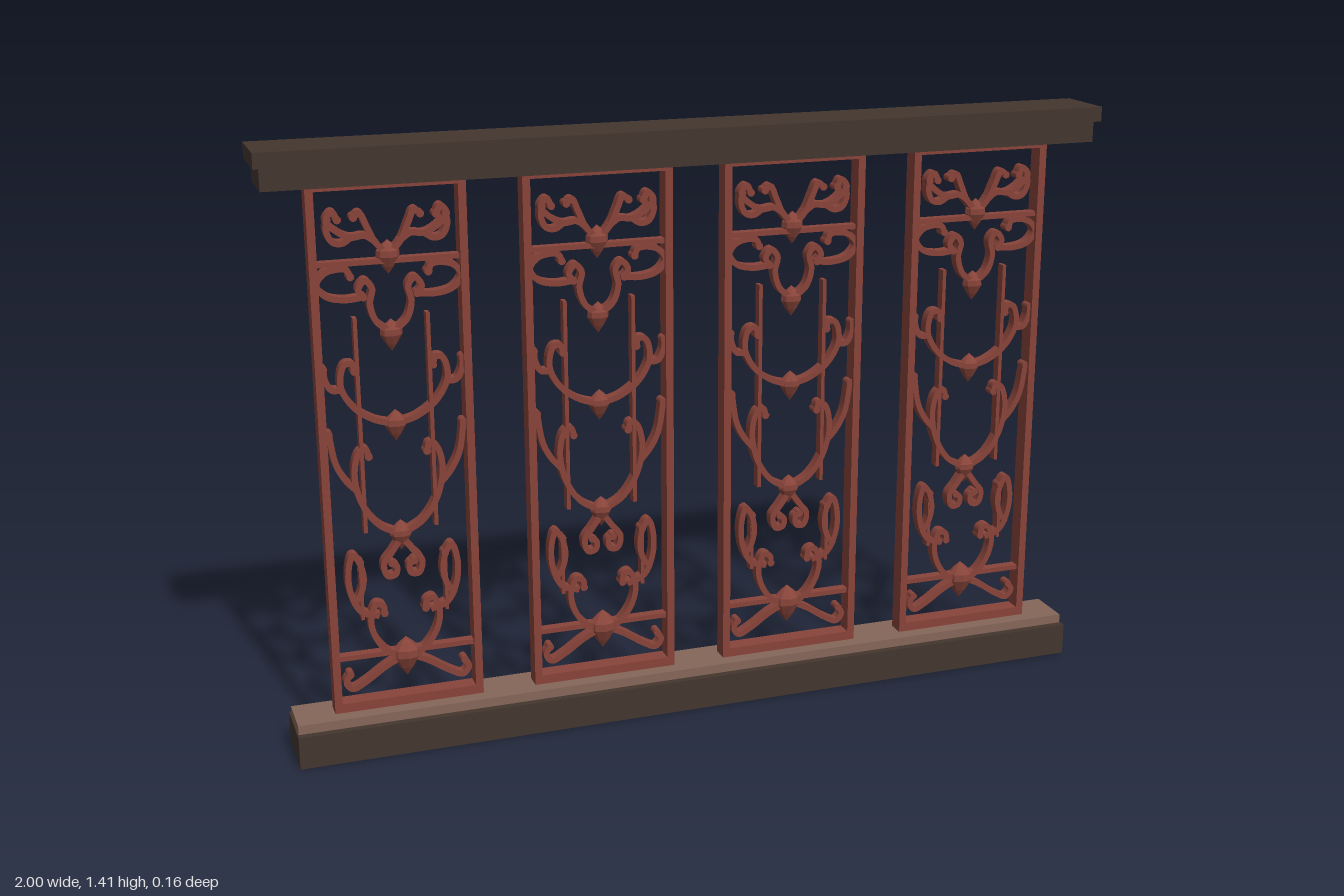
import * as THREE from 'three';

const material = (name, color) => {
  const m = new THREE.MeshStandardMaterial({ color });
  m.name = name;
  return m;
};

// Scrolls of the right half of a panel, as [x, y] in hundredths from the panel centre line
const SCROLLS = {
  crestInnerScroll: [[0.5, 117], [3, 120], [4.6, 123.5], [6, 126.3], [7.3, 125.3]],
  crestOuterScroll: [[2.5, 119.5], [5, 121.2], [8, 121], [11, 122.5], [13.2, 125], [11.8, 126.8], [10.8, 125]],
  crestCurl: [[8, 121], [10, 119.8], [12, 120.2], [13.2, 122.6], [13, 125]],
  neckScroll: [[0.5, 99.5], [3.4, 102], [4.6, 106], [4, 109.5], [5.5, 111.3], [7, 109.3], [6, 107.6]],
  shoulderScroll: [[6, 107.6], [10, 107.3], [14, 108.3], [16, 111], [14, 113.6], [9.5, 114], [8.6, 112.3]],
  upperArm: [[0.5, 78.2], [5, 79.6], [9.5, 83], [12, 88], [11, 92.6], [9.3, 92.8], [8.8, 91]],
  upperTendril: [[11.6, 87], [14, 87.2], [15.3, 89.5], [15.6, 92]],
  lowerArm: [[0.5, 52], [5, 54.6], [8.6, 60], [10, 67], [8.8, 72], [7.2, 72.8], [6.6, 71]],
  lowerTendril: [[9.4, 63], [12, 66], [14, 70], [15.2, 77]],
  pendantCurl: [[0.8, 50], [2.6, 47.5], [4.4, 45], [3.6, 42], [1.8, 42.2], [1.5, 44.2], [2.6, 45]],
  leafOuter: [[6, 32.5], [10, 34], [12.2, 38.5], [12.6, 44], [11.4, 48], [9.8, 46]],
  leafInner: [[9.8, 46], [9.2, 42], [10.2, 38], [11.4, 36.5]],
  rootArm: [[0.5, 21], [4.5, 23.5], [7.2, 27.5], [8, 32], [6.6, 35.4], [5, 34.8], [4.8, 33]],
  footScroll: [[0.5, 22], [5, 19.8], [10, 16.5], [13, 15.2], [14.4, 17], [13.4, 18.8]],
};

// Flat bar of constant width that follows a curve
function ribbon(points, side, width = 0.014, depth = 0.026) {
  const curve = new THREE.CatmullRomCurve3(
    points.map(([x, y]) => new THREE.Vector3(side * x / 100, y / 100, 0)), false, 'centripetal');
  const steps = points.length * 5;
  const left = [], right = [];
  for (let i = 0; i <= steps; i++) {
    const p = curve.getPoint(i / steps), t = curve.getTangent(i / steps);
    const nx = -t.y * width / 2, ny = t.x * width / 2;
    left.push(new THREE.Vector2(p.x + nx, p.y + ny));
    right.unshift(new THREE.Vector2(p.x - nx, p.y - ny));
  }
  const geo = new THREE.ExtrudeGeometry(new THREE.Shape([...left, ...right]), { depth, bevelEnabled: false });
  return geo.translate(0, 0, -depth / 2);
}

export function createModel() {
  const root = new THREE.Group();
  root.name = 'railing';
  const darkWood = material('dark wood', 0x44362e);
  const paleWood = material('pale wood', 0x86665a);
  const redWood = material('red wood', 0x88443a);

  const add = (parent, name, geo, mat, x = 0, y = 0, z = 0) => {
    const m = new THREE.Mesh(geo, mat);
    m.name = name;
    m.position.set(x, y, z);
    parent.add(m);
    return m;
  };
  // Box given by its width, bottom, top and depth
  const bar = (parent, name, mat, w, y0, y1, d, x = 0) =>
    add(parent, name, new THREE.BoxGeometry(w, y1 - y0, d), mat, x, (y0 + y1) / 2);

  // Beams
  bar(root, 'baseBeam', darkWood, 1.966, 0, 0.078, 0.148);
  bar(root, 'baseLedge', paleWood, 1.96, 0.078, 0.1, 0.112);
  bar(root, 'underRail', darkWood, 1.974, 1.33, 1.38, 0.13);
  bar(root, 'topRail', darkWood, 2, 1.38, 1.415, 0.156);

  // Faceted bud, pointed above and below
  const budGeo = new THREE.LatheGeometry(
    [[0, -0.042], [0.014, -0.024], [0.027, -0.002], [0.026, 0.012], [0.012, 0.026], [0, 0.036]]
      .map(([x, y]) => new THREE.Vector2(x, y)), 8).toNonIndexed();
  budGeo.scale(1, 1, 0.8);
  budGeo.computeVertexNormals();

  const tipGeo = new THREE.CylinderGeometry(0.009, 0.009, 0.028, 10).rotateX(Math.PI / 2);
  const scrolls = [];
  for (const [name, points] of Object.entries(SCROLLS))
    for (const side of [-1, 1])
      scrolls.push({ name, geo: ribbon(points, side), side, tip: points[points.length - 1] });

  // Lattice panels
  for (let i = 0; i < 4; i++) {
    const panel = new THREE.Group();
    panel.name = 'panel' + (i + 1);
    panel.position.x = (i - 1.5) * 0.476;
    root.add(panel);

    // Frame and thin cross bars
    for (const s of [-1, 1]) {
      bar(panel, 'frameStile', redWood, 0.018, 0.1, 1.33, 0.042, s * 0.166);
      bar(panel, 'innerUpright', redWood, 0.009, 0.53, 1.03, 0.024, s * 0.081);
      bar(panel, 'leafUpright', redWood, 0.008, 0.32, 0.44, 0.024, s * 0.098);
    }
    bar(panel, 'frameBottom', redWood, 0.314, 0.1, 0.122, 0.042);
    bar(panel, 'frameTop', redWood, 0.314, 1.315, 1.33, 0.042);
    bar(panel, 'upperCrossBar', redWood, 0.314, 1.147, 1.159, 0.024);
    bar(panel, 'lowerCrossBar', redWood, 0.314, 0.224, 0.236, 0.024);

    // Scrollwork
    for (const { name, geo, side, tip } of scrolls) {
      add(panel, name, geo, redWood);
      add(panel, name + 'Tip', tipGeo, redWood, side * tip[0] / 100, tip[1] / 100);
    }
    for (const [y, size] of [[1.163, 1], [0.987, 0.95], [0.778, 0.95], [0.516, 0.95], [0.217, 1.25]])
      add(panel, 'bud', budGeo, redWood, 0, y).scale.setScalar(size);
  }
  return root;
}
